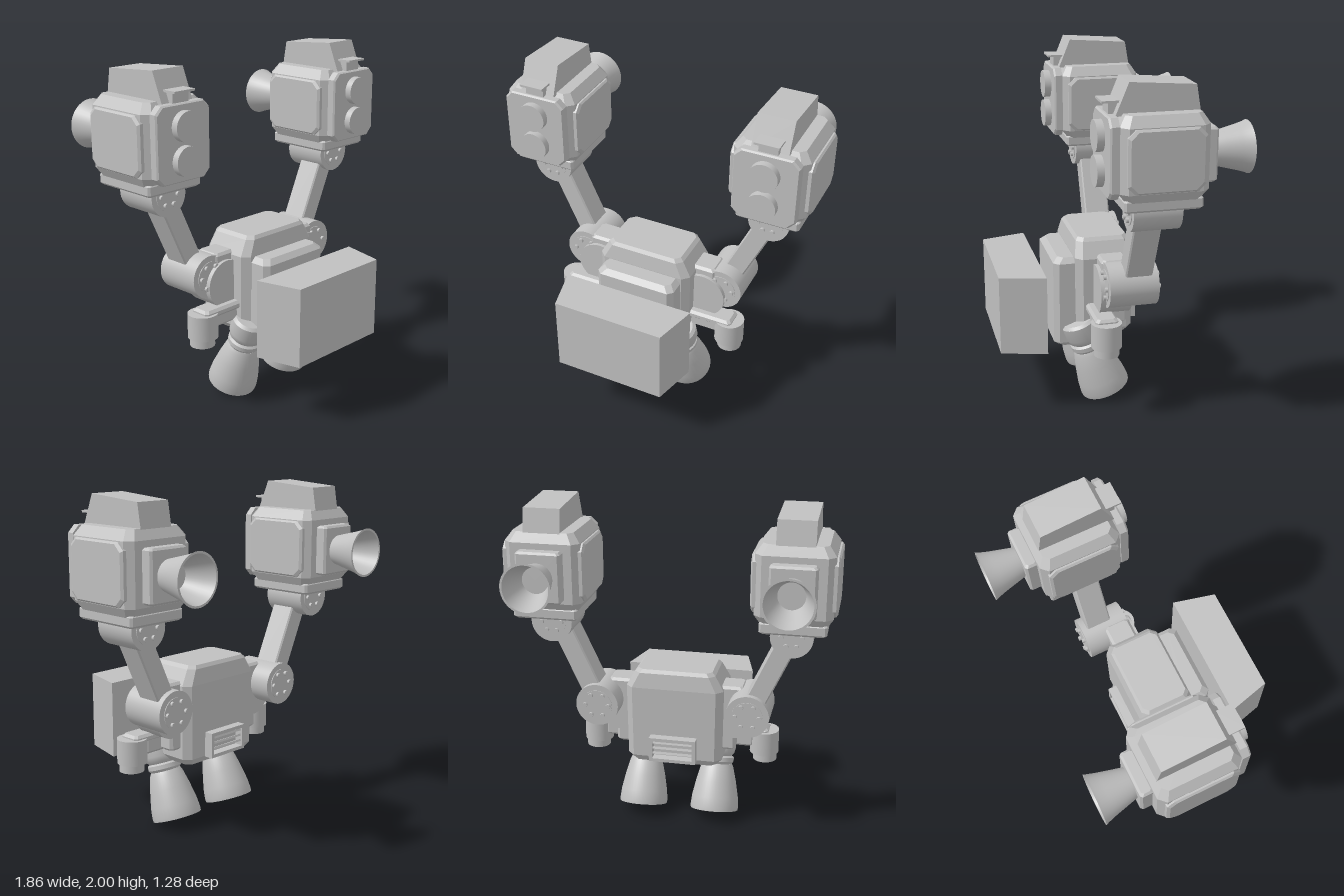
import * as THREE from 'three';
import { toCreasedNormals } from 'three/addons/utils/BufferGeometryUtils.js';

const grey = new THREE.MeshStandardMaterial({ color: 0xc0c0c0, side: THREE.DoubleSide });
grey.name = 'light grey';

function add(parent, name, geometry, x = 0, y = 0, z = 0) {
  const mesh = new THREE.Mesh(geometry, grey);
  mesh.name = name;
  mesh.position.set(x, y, z);
  parent.add(mesh);
  return mesh;
}

// Stack of corner-cut rectangles [y, halfX, halfZ, cut], joined and capped
function loft(sections) {
  const rings = sections.map(([y, a, b, c]) => [
    [a, y, b - c], [a, y, c - b], [a - c, y, -b], [c - a, y, -b],
    [-a, y, c - b], [-a, y, b - c], [c - a, y, b], [a - c, y, b]]);
  const pos = [];
  const tri = (...pts) => pts.forEach((p) => pos.push(...p));
  for (let k = 0; k < rings.length - 1; k++) {
    const lo = rings[k], up = rings[k + 1];
    for (let i = 0; i < 8; i++) {
      const j = (i + 1) % 8;
      tri(lo[i], lo[j], up[j]);
      tri(lo[i], up[j], up[i]);
    }
  }
  const bottom = rings[0], top = rings[rings.length - 1];
  for (let i = 1; i < 7; i++) {
    tri(top[0], top[i], top[i + 1]);
    tri(bottom[0], bottom[i + 1], bottom[i]);
  }
  const g = new THREE.BufferGeometry();
  g.setAttribute('position', new THREE.Float32BufferAttribute(pos, 3));
  g.computeVertexNormals();
  return g;
}

// Box with every edge chamfered
function bevelBox(w, h, d, b = 0.015) {
  const x = w / 2, y = h / 2, z = d / 2;
  return loft([[-y, x - b, z - b, b], [b - y, x, z, b], [y - b, x, z, b], [y, x - b, z - b, b]]);
}

const drum = (r, depth, sides = 40) => new THREE.CylinderGeometry(r, r, depth, sides);
const drumZ = (r, depth, sides) => drum(r, depth, sides).rotateX(Math.PI / 2);

function lathe(profile) {
  const pts = profile.map(([r, y]) => new THREE.Vector2(r, y));
  return toCreasedNormals(new THREE.LatheGeometry(pts, 40), 0.6);
}

// Drum joint along z with a ring of bolts on both ends
function joint(parent, name, x, y, z, r, depth, boltRing) {
  const g = new THREE.Group();
  g.name = name;
  g.position.set(x, y, z);
  parent.add(g);
  add(g, 'drum', drumZ(r, depth));
  for (const s of [-1, 1]) {
    add(g, 'jointCap', drumZ(r * 0.72, 0.008), 0, 0, s * depth / 2);
    for (let i = 0; i < 6; i++) {
      const a = i * Math.PI / 3;
      add(g, 'bolt', drumZ(0.014, 0.03, 12), boltRing * Math.cos(a), boltRing * Math.sin(a), s * (depth / 2 + 0.004));
    }
  }
}

function buildPod(parent, s) {
  const pod = new THREE.Group();
  pod.name = s > 0 ? 'leftPod' : 'rightPod';
  pod.position.set(s * 0.695, 0, -0.14);
  parent.add(pod);
  add(pod, 'podBase', bevelBox(0.37, 0.07, 0.42, 0.012), 0, 1.38, 0);
  add(pod, 'podShell', loft([[1.40, 0.185, 0.20, 0.03], [1.45, 0.215, 0.235, 0.04],
    [1.79, 0.215, 0.235, 0.04], [1.845, 0.175, 0.2, 0.03]]));
  for (const e of [-1, 1]) {
    add(pod, 'sidePanel', loft([[0, 0.165, 0.205, 0.04], [0.02, 0.165, 0.205, 0.04], [0.03, 0.155, 0.19, 0.04]])
      .rotateZ(-e * Math.PI / 2), e * 0.205, 1.62, 0);
  }
  // Front plate with two round lamps
  add(pod, 'frontPlate', loft([[0, 0.185, 0.21, 0.04], [0.04, 0.185, 0.21, 0.04], [0.05, 0.178, 0.203, 0.04]])
    .rotateX(Math.PI / 2), 0, 1.625, 0.235);
  for (const y of [1.53, 1.715]) add(pod, 'lamp', drumZ(0.083, 0.06), 0, y, 0.295);
  // Sloping top housing and small hood
  const side = new THREE.Shape([[-0.24, 1.83], [-0.17, 2.0], [0.18, 1.975], [0.205, 1.83]]
    .map(([x, y]) => new THREE.Vector2(x, y)));
  add(pod, 'topHousing', new THREE.ExtrudeGeometry(side, { depth: 0.21, bevelEnabled: false })
    .translate(0, 0, -0.105).rotateY(Math.PI / 2));
  add(pod, 'hoodTop', new THREE.BoxGeometry(0.14, 0.012, 0.1), 0, 1.897, 0.25);
  add(pod, 'hoodBody', new THREE.BoxGeometry(0.11, 0.06, 0.06), 0, 1.862, 0.235);
  // Rear block and hollow nozzle
  add(pod, 'rearBlock', bevelBox(0.255, 0.29, 0.08, 0.012), 0, 1.61, -0.26);
  add(pod, 'rearNozzle', lathe([[0, 0], [0.085, 0], [0.1, 0.06], [0.12, 0.14], [0.135, 0.19], [0.142, 0.205],
    [0.13, 0.205], [0.11, 0.14], [0.075, 0.04], [0, 0.04]]).rotateX(-Math.PI / 2), 0, 1.61, -0.295);
}

function buildArm(parent, s) {
  const arm = new THREE.Group();
  arm.name = s > 0 ? 'leftArm' : 'rightArm';
  parent.add(arm);
  add(arm, 'shoulderBlock', bevelBox(0.16, 0.28, 0.16), s * 0.33, 0.775, -0.01);
  add(arm, 'shoulderHub', drumZ(0.14, 0.18), s * 0.34, 0.73, 0);
  joint(arm, 'shoulderJoint', s * 0.445, 0.79, -0.08, 0.127, 0.28, 0.07);
  const beam = add(arm, 'upperArm', bevelBox(0.12, 0.54, 0.155, 0.008), s * 0.565, 1.05, -0.108);
  beam.rotation.z = -s * 0.43;
  joint(arm, 'podJoint', s * 0.685, 1.308, -0.133, 0.12, 0.265, 0.058);
}

function buildSideThruster(parent, s) {
  const t = new THREE.Group();
  t.name = s > 0 ? 'leftSideThruster' : 'rightSideThruster';
  parent.add(t);
  add(t, 'bracket', bevelBox(0.29, 0.05, 0.13, 0.015), s * 0.40, 0.595, 0.07);
  add(t, 'bracketBlock', bevelBox(0.2, 0.11, 0.1), s * 0.36, 0.55, 0.06);
  add(t, 'mountBlock', bevelBox(0.1, 0.14, 0.1), s * 0.31, 0.58, -0.04);
  add(t, 'thrusterDrum', drum(0.087, 0.145), s * 0.517, 0.525, 0.07);
  add(t, 'thrusterTip', drum(0.072, 0.06), s * 0.522, 0.435, 0.07);
}

function buildLeg(parent, s) {
  const leg = new THREE.Group();
  leg.name = s > 0 ? 'leftLegNozzle' : 'rightLegNozzle';
  leg.position.set(s * 0.225, 0.055, 0.005);
  leg.rotation.x = 0.355;
  parent.add(leg);
  add(leg, 'bell', lathe([[0, 0.27], [0.07, 0.26], [0.1, 0.16], [0.125, 0.06], [0.135, 0], [0.146, 0],
    [0.148, 0.02], [0.142, 0.08], [0.122, 0.18], [0.1, 0.265], [0.09, 0.285], [0, 0.285]]));
  add(leg, 'neck', lathe([[0, 0.27], [0.085, 0.28], [0.1, 0.3], [0.1, 0.325], [0.085, 0.335],
    [0.1, 0.35], [0.108, 0.38], [0.108, 0.46], [0.09, 0.475], [0, 0.475]]));
}

export function createModel() {
  const model = new THREE.Group();
  model.name = 'twinPodThrusterPack';

  // Body and raised front panel
  add(model, 'body', loft([[0.41, 0.25, 0.14, 0.03], [0.45, 0.285, 0.165, 0.04], [0.89, 0.29, 0.17, 0.04],
    [0.98, 0.24, 0.155, 0.035], [1.0, 0.22, 0.14, 0.03]]), 0, 0, 0.02);
  add(model, 'frontPanel', bevelBox(0.49, 0.55, 0.2, 0.03), 0, 0.612, 0.21);

  // Rear vent with open frame and slats
  const vent = new THREE.Group();
  vent.name = 'rearVent';
  vent.position.set(0, 0.52, -0.165);
  model.add(vent);
  for (const e of [-1, 1]) {
    add(vent, 'ventRail', new THREE.BoxGeometry(0.28, 0.02, 0.07), 0, e * 0.065, 0);
    add(vent, 'ventPost', new THREE.BoxGeometry(0.02, 0.15, 0.07), e * 0.13, 0, 0);
  }
  for (let i = -1; i <= 1; i++) {
    const slat = add(vent, 'ventSlat', new THREE.BoxGeometry(0.24, 0.012, 0.05), 0, i * 0.033, 0);
    slat.rotation.x = 0.4;
  }

  // Separate tapered block in front
  const block = new THREE.Shape([[-0.395, -0.38], [-0.33, -0.64], [0.33, -0.64], [0.395, -0.38]]
    .map(([x, y]) => new THREE.Vector2(x, y)));
  add(model, 'frontBlock', new THREE.ExtrudeGeometry(block, { depth: 0.46, bevelEnabled: false })
    .rotateX(-Math.PI / 2), 0, 0.38, 0);

  for (const s of [-1, 1]) {
    buildPod(model, s);
    buildArm(model, s);
    buildSideThruster(model, s);
    buildLeg(model, s);
  }
  return model;
}
